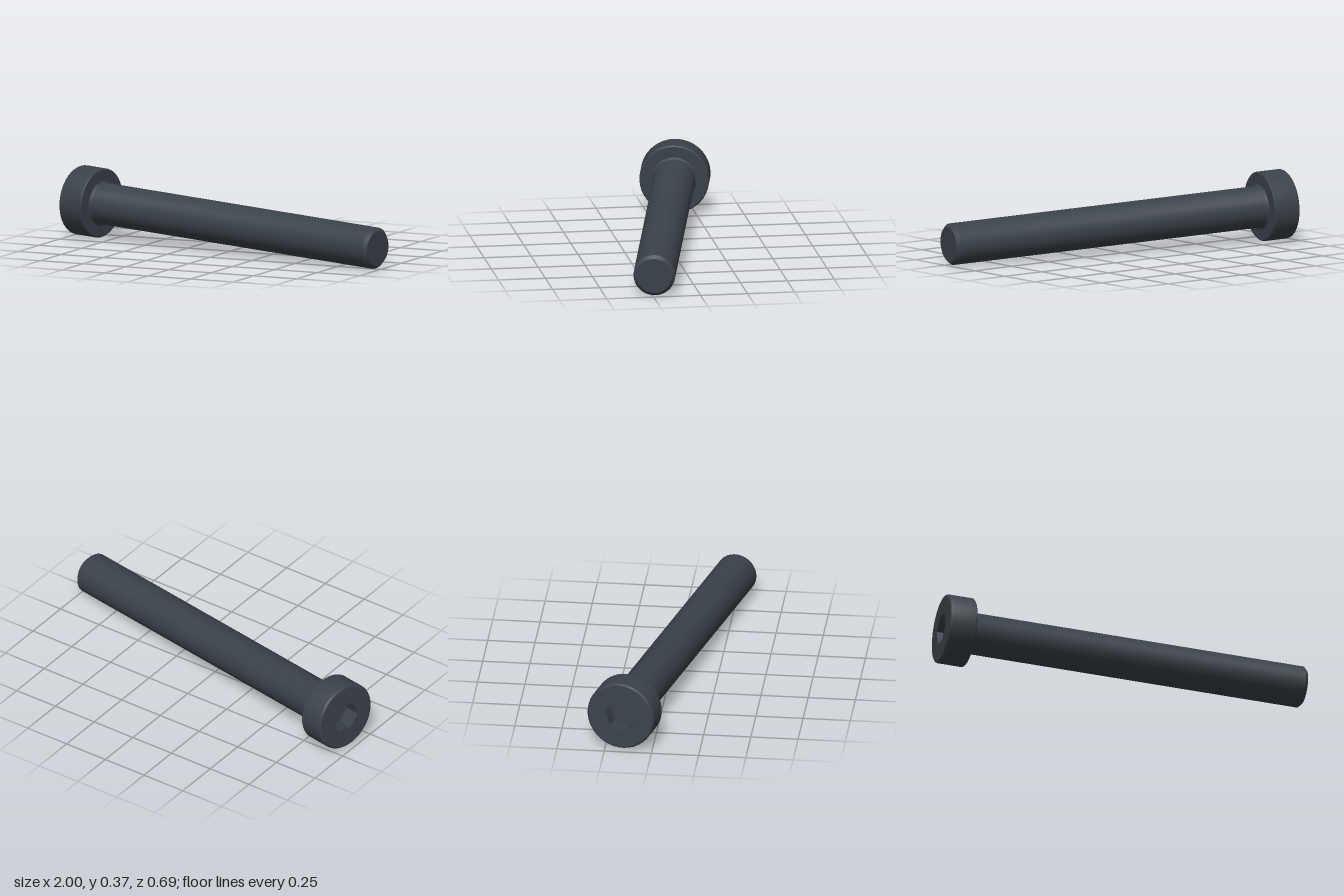
import * as THREE from 'three';
import { toCreasedNormals } from 'three/addons/utils/BufferGeometryUtils.js';

const SIDES = 40;
const LENGTH = 1.988;
const HEAD_R = 0.184, HEAD_H = 0.147, HEAD_ROUND = 0.012, HEAD_BEVEL = 0.006;
const SHAFT_R = 0.11, SHAFT_FILLET = 0.011, TIP_BEVEL = 0.017;
const SOCKET_R = 0.085, SOCKET_DEPTH = 0.084;

const v = (x, y) => new THREE.Vector2(x, y);

// Quarter-round profile points around a centre
function arc(cx, cy, r, from, to, steps = 4) {
  return Array.from({ length: steps + 1 }, (_, i) => {
    const a = from + ((to - from) * i) / steps;
    return v(cx + r * Math.cos(a), cy + r * Math.sin(a));
  });
}

// Corners aligned with those of a lathe
function polygon(r, n) {
  return Array.from({ length: n }, (_, i) => {
    const a = Math.PI / 2 + (i * 2 * Math.PI) / n;
    return v(r * Math.cos(a), r * Math.sin(a));
  });
}

const lathe = (points, sides) => toCreasedNormals(new THREE.LatheGeometry(points, sides), 0.5);

export function createModel() {
  const steel = new THREE.MeshStandardMaterial({ color: 0x3a4249 });
  steel.name = 'dark steel';

  const bolt = new THREE.Group();
  bolt.name = 'bolt';
  const add = (name, geometry) => {
    const mesh = new THREE.Mesh(geometry, steel);
    mesh.name = name;
    bolt.add(mesh);
  };

  // Head: rounded outer rim, small bevel on the underside
  add('headSide', lathe([
    ...arc(HEAD_R - HEAD_ROUND, HEAD_ROUND, HEAD_ROUND, -Math.PI / 2, 0),
    v(HEAD_R, HEAD_H - HEAD_BEVEL),
    v(HEAD_R - HEAD_BEVEL, HEAD_H),
    v(SHAFT_R + SHAFT_FILLET, HEAD_H),
  ], SIDES));

  // Head face with the hexagonal opening
  const face = new THREE.Shape(polygon(HEAD_R - HEAD_ROUND, SIDES));
  face.holes.push(new THREE.Path(polygon(SOCKET_R, 6)));
  add('headFace', new THREE.ShapeGeometry(face).rotateX(Math.PI / 2));

  // Hex socket: walls facing inward, and a flat floor
  add('socketWalls', lathe([v(SOCKET_R, SOCKET_DEPTH), v(SOCKET_R, 0)], 6));
  add('socketFloor', new THREE.ShapeGeometry(new THREE.Shape(polygon(SOCKET_R, 6)))
    .rotateX(Math.PI / 2).translate(0, SOCKET_DEPTH, 0));

  // Shaft: fillet under the head, bevelled flat tip
  add('shaft', lathe([
    ...arc(SHAFT_R + SHAFT_FILLET, HEAD_H + SHAFT_FILLET, SHAFT_FILLET, -Math.PI / 2, -Math.PI),
    v(SHAFT_R, LENGTH - TIP_BEVEL),
    v(SHAFT_R - TIP_BEVEL, LENGTH),
    v(0, LENGTH),
  ], SIDES));

  // Lay the bolt down so that head and tip both rest on the ground
  const axis = new THREE.Vector3(0.977, -0.041, 0.208).normalize();
  bolt.quaternion.setFromUnitVectors(new THREE.Vector3(0, 1, 0), axis);
  bolt.position.set(-0.963, 0.191, -0.169);

  const model = new THREE.Group();
  model.name = 'capScrew';
  model.add(bolt);
  return model;
}
